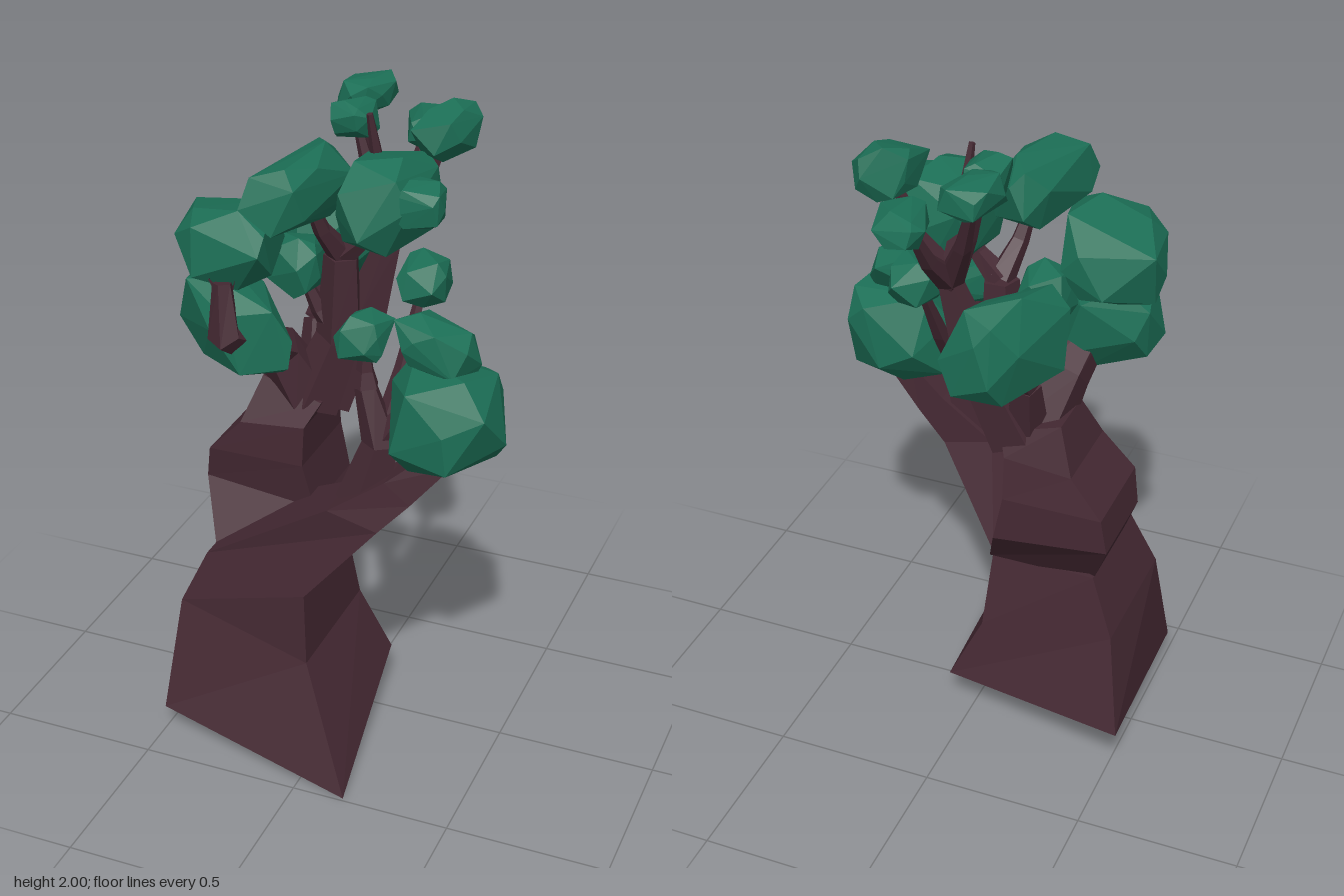
import * as THREE from 'three';
import { ConvexGeometry } from 'three/addons/geometries/ConvexGeometry.js';

const bark = new THREE.MeshStandardMaterial({ color: 0x452933, flatShading: true, side: THREE.DoubleSide });
const leaf = new THREE.MeshStandardMaterial({ color: 0x1c6f56, flatShading: true });

// Skin a list of equal-sized rings (counter-clockwise seen from their tip); open at the root, capped at the tip
function loft(rings) {
  const n = rings[0].length, corners = [];
  for (let r = 0; r < rings.length - 1; r++) {
    const lo = rings[r], hi = rings[r + 1];
    for (let i = 0; i < n; i++) {
      const j = (i + 1) % n;
      corners.push(lo[i], lo[j], hi[j], lo[i], hi[j], hi[i]);
    }
  }
  const tip = rings[rings.length - 1];
  for (let i = 1; i < n - 1; i++) corners.push(tip[0], tip[i], tip[i + 1]);
  const g = new THREE.BufferGeometry().setFromPoints(corners);
  g.computeVertexNormals();
  return g;
}

// Four-cornered cross-section; rise lifts its right edge, skew pulls that edge forward
function quad(x, y, z, w, d, rise = 0, skew = 0) {
  return [[-1, 1], [1, 1], [1, -1], [-1, -1]].map(([sx, sz]) =>
    new THREE.Vector3(x + sx * w / 2, y + sx * rise, z + sz * d / 2 + sx * skew));
}

// Angular branch along points, tapering from radius r0 to r1
function branch(pts, r0, r1, sides = 5) {
  const end = pts.length - 1;
  return loft(pts.map((p, k) => {
    const dir = pts[Math.min(k + 1, end)].clone().sub(pts[Math.max(k - 1, 0)]).normalize();
    const u = new THREE.Vector3(0, 0, 1).addScaledVector(dir, -dir.z).normalize();
    const v = dir.clone().cross(u);
    const r = THREE.MathUtils.lerp(r0, r1, k / end);
    return Array.from({ length: sides }, (_, i) => {
      const a = i / sides * Math.PI * 2;
      return p.clone().addScaledVector(u, Math.cos(a) * r).addScaledVector(v, Math.sin(a) * r);
    });
  }));
}

function seeded(seed) {
  let s = seed * 7919 + 17;
  return () => (s = (s * 16807) % 2147483647) / 2147483647;
}

// Boxy faceted leaf clump; skew slants its plan diagonally, tilt slants it sideways
function clump(centre, size, seed, skew, tilt) {
  const rnd = seeded(seed), count = 18;
  const swell = v => Math.sign(v) * Math.abs(v) ** 0.7;
  const pts = Array.from({ length: count }, (_, i) => {
    const y = 1 - 2 * (i + 0.5) / count, r = Math.sqrt(1 - y * y);
    const a = i * 2.4 + rnd() * 0.9 + seed;
    const p = new THREE.Vector3(swell(Math.cos(a) * r), swell(y), swell(Math.sin(a) * r));
    p.multiplyScalar(0.92 + rnd() * 0.16);
    p.x += skew * p.z;
    p.y += tilt * p.x;
    return p;
  });
  const box = new THREE.Box3().setFromPoints(pts);
  const mid = box.getCenter(new THREE.Vector3()), extent = box.getSize(new THREE.Vector3());
  return new ConvexGeometry(pts.map(p => p.sub(mid).divide(extent).multiply(size).add(centre)));
}

export function createModel() {
  const model = new THREE.Group();
  const vec = p => new THREE.Vector3(...p);
  const add = (name, geo, mat) => {
    const m = new THREE.Mesh(geo, mat);
    m.name = name;
    model.add(m);
  };

  let seed = 0;
  const addClump = (centre, size, skew = 0, tilt = 0) =>
    add('leafClump', clump(vec(centre), vec(size), ++seed, skew, tilt), leaf);

  // A bough with clumps, each carried by a bent twig from one of the bough's joints
  const addBough = (name, r0, r1, path, clumps) => {
    const pts = path.map(vec);
    add(name, branch(pts, r0, r1), bark);
    clumps.forEach(([joint, centre, size, skew, tilt]) => {
      const from = pts[joint], to = vec(centre);
      const bend = from.clone().lerp(to, 0.5);
      bend.y -= 0.03;
      add('twig', branch([from, bend, to], 0.042, 0.012), bark);
      addClump(centre, size, skew, tilt);
    });
  };

  // Flared four-sided trunk, hollow underneath, on a slanted base
  const base = [[-0.50, 0.08, 0.37], [0.16, 0, 0.49], [0.07, 0.13, -0.15], [-0.54, 0.18, -0.29]].map(vec);
  const fork = quad(-0.215, 0.595, 0.10, 0.35, 0.36, -0.02, 0.03);
  add('trunk', loft([base, quad(-0.25, 0.39, 0.08, 0.44, 0.44, -0.05, 0.02), fork]), bark);

  // Lower limb sweeping out to the side, ending in the biggest clump
  add('sideLimb', loft([
    fork,
    quad(0.105, 0.86, 0.19, 0.16, 0.19, -0.02),
    quad(0.235, 0.965, 0.18, 0.08, 0.15, -0.03),
    quad(0.35, 1.08, 0.17, 0.08, 0.10, -0.01),
  ]), bark);
  addClump([0.355, 1.205, 0.175], [0.37, 0.33, 0.33], 0.2);

  // Swollen main limb
  add('mainLimb', loft([
    quad(-0.21, 0.585, 0.06, 0.34, 0.28),
    quad(-0.28, 0.77, -0.06, 0.36, 0.29, -0.02),
    quad(-0.285, 0.90, -0.05, 0.31, 0.31),
    quad(-0.23, 1.02, -0.04, 0.21, 0.28, 0.01),
    quad(-0.19, 1.12, -0.05, 0.19, 0.17, -0.03),
  ]), bark);

  // Upright bough on the side limb
  addBough('sideBough', 0.085, 0.035, [[0.10, 0.87, 0.18], [0.155, 1.08, 0.17], [0.10, 1.25, 0.16]], [
    [2, [0.095, 1.41, 0.155], [0.15, 0.14, 0.15], -0.3],
    [1, [0.32, 1.415, 0.155], [0.24, 0.19, 0.17], 0, -0.5],
    [1, [0.19, 1.51, -0.075], [0.16, 0.15, 0.19]],
  ]);

  // Central bough
  addBough('centreBough', 0.095, 0.055, [[-0.15, 1.06, -0.04], [-0.07, 1.28, -0.06], [-0.06, 1.55, -0.05]], [
    [2, [-0.125, 1.81, 0.09], [0.23, 0.22, 0.38], -0.4],
    [2, [0.085, 1.745, -0.03], [0.23, 0.29, 0.34], -0.2],
    [1, [-0.19, 1.515, -0.02], [0.16, 0.19, 0.17]],
  ]);

  // Tall leader carrying the topmost clumps
  addBough('leader', 0.1, 0.01,
    [[-0.13, 1.06, -0.08], [-0.01, 1.36, -0.14], [0.05, 1.58, -0.16], [0.01, 1.98, -0.09]], [
      [2, [-0.065, 1.93, -0.17], [0.13, 0.12, 0.15]],
      [2, [0.205, 1.775, 0.005], [0.15, 0.13, 0.15]],
      [2, [0.21, 1.92, -0.21], [0.16, 0.16, 0.22], -0.4],
      [2, [0.08, 1.855, -0.38], [0.16, 0.11, 0.22], 0.2],
      [2, [-0.095, 1.95, -0.32], [0.15, 0.10, 0.20], -0.4],
    ]);

  // Left bough, hooking out in front of its clumps
  addBough('leftBough', 0.1, 0.03,
    [[-0.18, 1.08, -0.04], [-0.24, 1.24, 0.02], [-0.29, 1.40, 0.28], [-0.30, 1.55, 0.26]], [
      [3, [-0.345, 1.62, 0.11], [0.33, 0.26, 0.34], 0.3, 0.15],
      [1, [-0.305, 1.375, 0.15], [0.39, 0.31, 0.27], 0.3, -0.3],
    ]);

  // Rear bough
  addBough('rearBough', 0.075, 0.045, [[-0.15, 1.08, -0.08], [-0.18, 1.28, -0.15]], [
    [1, [-0.18, 1.51, -0.30], [0.30, 0.32, 0.34], -0.6],
  ]);
  return model;
}
